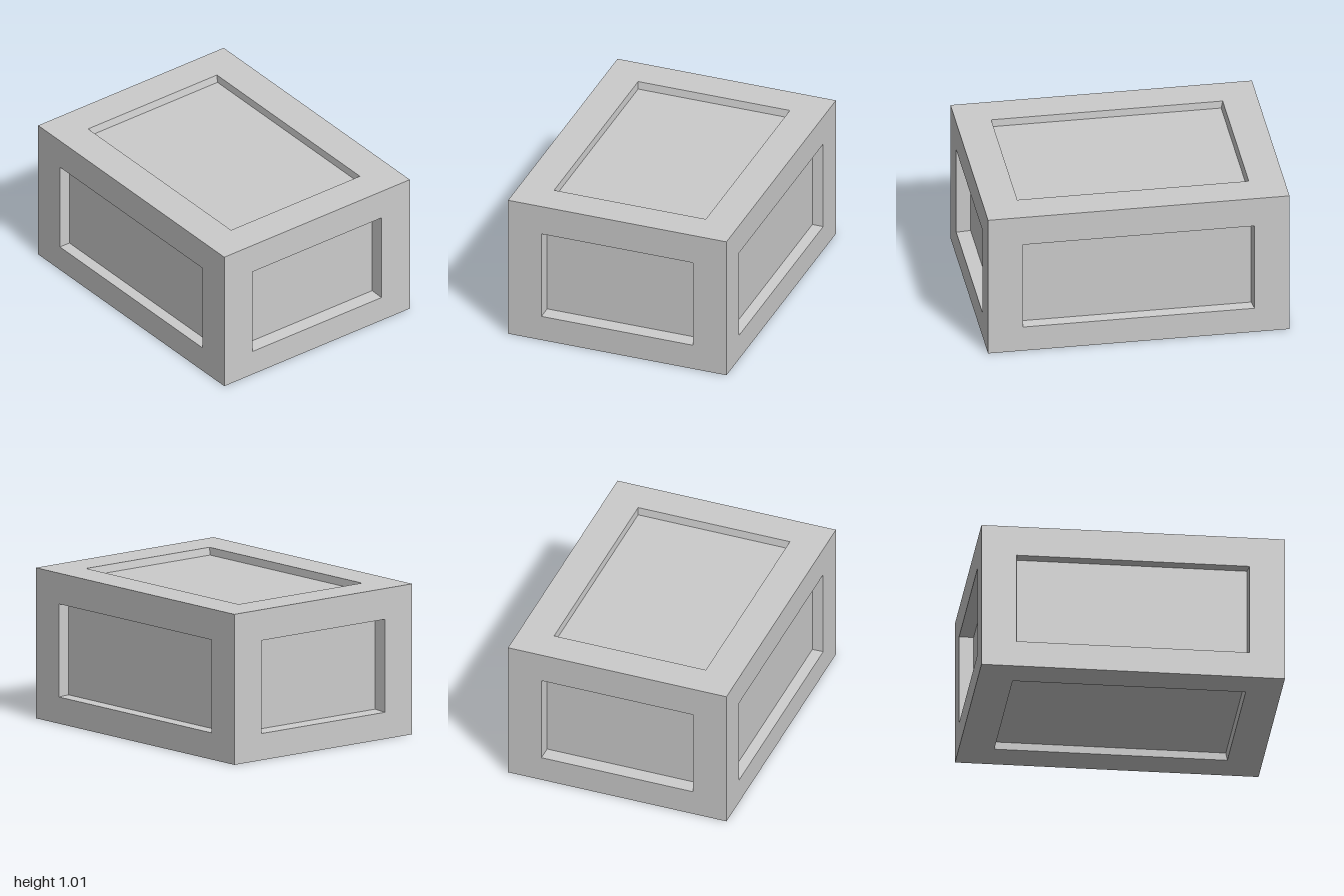
import * as THREE from 'three';

// Axis order x, y, z: centre and half-size of each rectangle
const outer = { centre: [0, 0.503, 0], half: [1, 0.503, 0.766] };
const opening = { centre: [0, 0.489, 0], half: [0.768, 0.311, 0.532] };
const inset = { centre: [0, 0.491, 0], half: [0.757, 0.306, 0.528] };
const depth = [0.095, 0.05, 0.072];
const corners = [[-1, -1], [1, -1], [1, 1], [-1, 1]];

// One side of the box: flat border, slightly drafted recess walls and sunken panel
function recessedSide(axis, sign) {
  const u = (axis + 1) % 3, v = (axis + 2) % 3;
  const surface = outer.centre[axis] + sign * outer.half[axis];
  const ring = (rect, sink) => corners.map(([a, b]) => {
    const p = [0, 0, 0];
    p[axis] = surface - sign * sink;
    p[u] = rect.centre[u] + a * sign * rect.half[u]; // mirrored on the far side to keep winding outward
    p[v] = rect.centre[v] + b * rect.half[v];
    return p;
  });
  const rings = [ring(outer, 0), ring(opening, 0), ring(inset, depth[axis])];
  const positions = [];
  const quad = (a, b, c, d) => positions.push(...a, ...b, ...c, ...a, ...c, ...d);
  for (let r = 0; r < 2; r++) {
    for (let i = 0; i < 4; i++) {
      const j = (i + 1) % 4;
      quad(rings[r][i], rings[r][j], rings[r + 1][j], rings[r + 1][i]);
    }
  }
  quad(...rings[2]);
  const geometry = new THREE.BufferGeometry();
  geometry.setAttribute('position', new THREE.Float32BufferAttribute(positions, 3));
  geometry.computeVertexNormals();
  return geometry;
}

export function createModel() {
  const model = new THREE.Group();
  model.name = 'panelledCrate';
  const material = new THREE.MeshStandardMaterial({ color: 0xcccccc, flatShading: true });
  // Positive and negative side on each axis
  const names = [['leftSide', 'rightSide'], ['top', 'bottom'], ['front', 'back']];
  names.forEach((pair, axis) => pair.forEach((name, k) => {
    const side = new THREE.Mesh(recessedSide(axis, k === 0 ? 1 : -1), material);
    side.name = name;
    model.add(side);
  }));
  return model;
}
